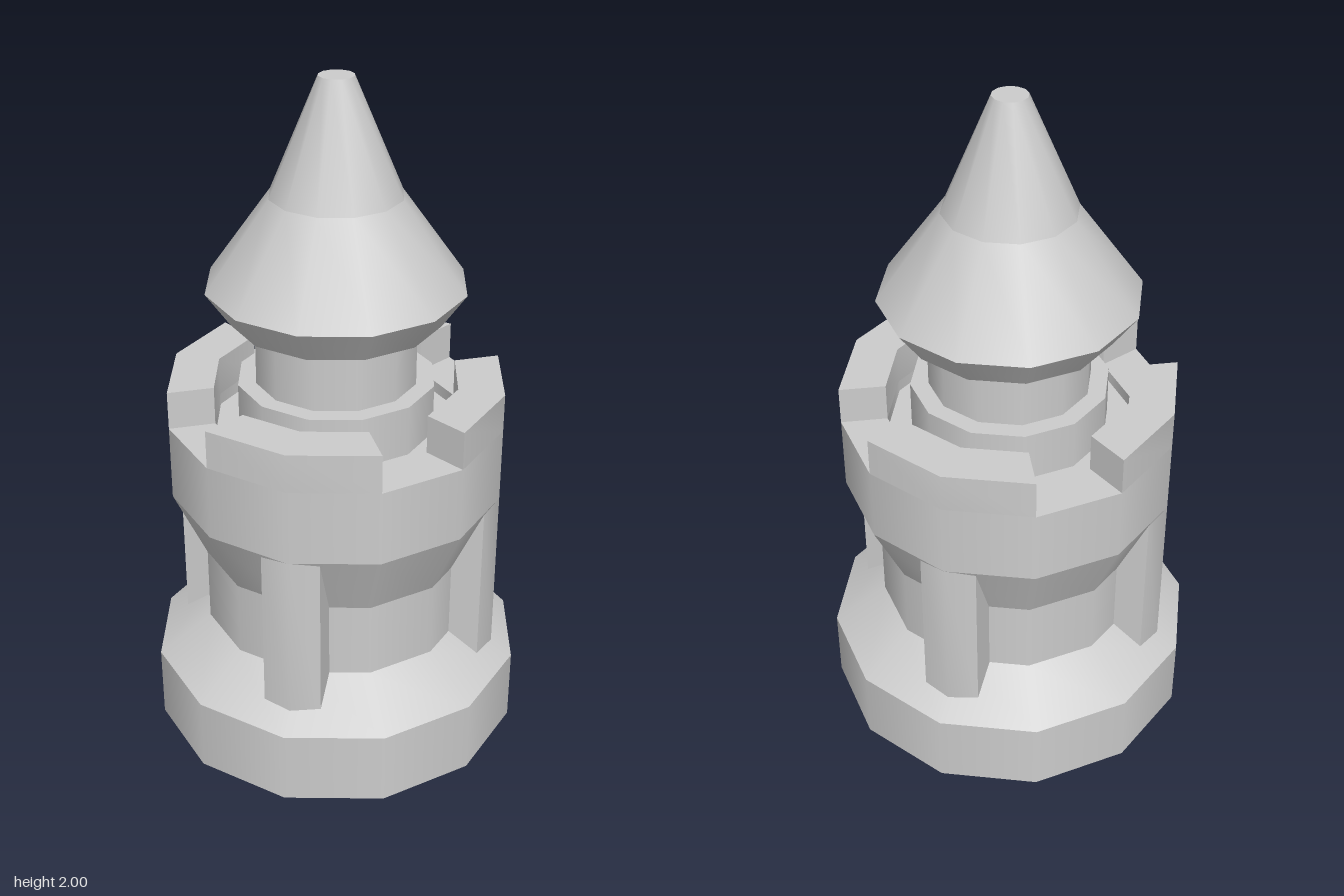
import * as THREE from 'three';
import { mergeGeometries, toCreasedNormals } from 'three/addons/utils/BufferGeometryUtils.js';

const SIDES = 12;
const material = new THREE.MeshStandardMaterial({ color: 0xcccccc });

function addMesh(parent, name, geometry) {
  const mesh = new THREE.Mesh(geometry, material);
  mesh.name = name;
  parent.add(mesh);
  return mesh;
}

// Turned part: smooth around the axis, sharp at each ring of the profile [radius, y]
function turned(profile) {
  const bands = [];
  for (let i = 0; i < profile.length - 1; i++) {
    const pair = [profile[i], profile[i + 1]].map(([r, y]) => new THREE.Vector2(r, y));
    bands.push(new THREE.LatheGeometry(pair, SIDES));
  }
  return mergeGeometries(bands);
}

// Upright prism over a floor outline of [x, z] points
function prism(outline, y0, y1) {
  const shape = new THREE.Shape(outline.map(([x, z]) => new THREE.Vector2(x, -z)));
  const geometry = new THREE.ExtrudeGeometry(shape, { depth: y1 - y0, bevelEnabled: false });
  geometry.rotateX(-Math.PI / 2).translate(0, y0, 0);
  return toCreasedNormals(geometry, THREE.MathUtils.degToRad(42));
}

export function createModel() {
  const tower = new THREE.Group();
  tower.name = 'tower';

  // Plinth with sloped shoulder
  addMesh(tower, 'plinth', turned([[0, 0], [0.56, 0], [0.56, 0.225], [0.4, 0.34]]));

  // Shaft, flare and parapet wall, down to the sunken walkway
  addMesh(tower, 'towerBody', turned([
    [0.4, 0.34], [0.4, 0.57], [0.495, 0.78], [0.495, 1.005],
    [0.36, 1.005], [0.36, 0.97], [0.28, 0.97],
  ]));

  // Stepped turret rising from the walkway
  addMesh(tower, 'turret', turned([
    [0.29, 0.97], [0.29, 1.12], [0.237, 1.12], [0.237, 1.31],
  ]));

  // Two-pitch roof with a bevelled eave and a flat tip
  addMesh(tower, 'roof', turned([
    [0, 1.31], [0.305, 1.31], [0.375, 1.41], [0.19, 1.67], [0.05, 2], [0, 2],
  ]));

  // Four merlons and four buttresses, one on each axis
  const arc = (r, angles) => angles.map((deg) => {
    const a = THREE.MathUtils.degToRad(deg);
    return [r * Math.sin(a), r * Math.cos(a)];
  });
  const merlon = prism([...arc(0.495, [-30, 0, 30]), ...arc(0.36, [30, 0, -30])], 1.005, 1.12);
  const buttress = prism(
    [[-0.085, 0.34], [-0.085, 0.467], [0, 0.495], [0.085, 0.467], [0.085, 0.34]], 0.25, 0.78);
  for (let i = 0; i < 4; i++) {
    addMesh(tower, 'merlon', merlon).rotation.y = i * Math.PI / 2;
    addMesh(tower, 'buttress', buttress).rotation.y = i * Math.PI / 2;
  }

  return tower;
}
